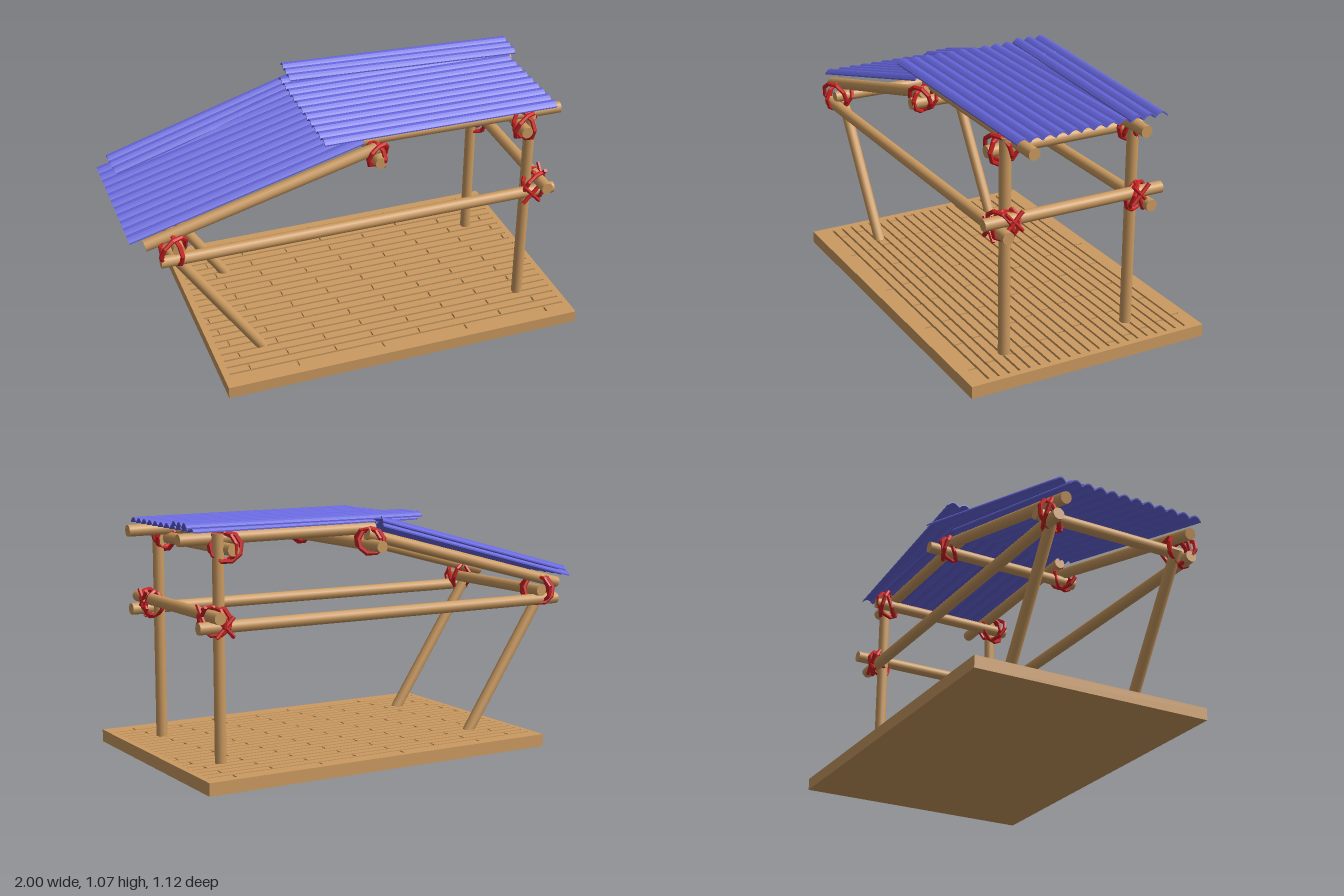
import * as THREE from 'three';

const wood = new THREE.MeshStandardMaterial({ color: 0xcb9a60 });
const blue = new THREE.MeshStandardMaterial({ color: 0x6666dd });
const red = new THREE.MeshStandardMaterial({ color: 0xcc2222, flatShading: true });
const V = (p) => new THREE.Vector3(...p);

function add(parent, name, geometry, material) {
  const mesh = new THREE.Mesh(geometry, material);
  mesh.name = name;
  parent.add(mesh);
  return mesh;
}

// Round pole between two points
function pole(parent, name, a, b, radius = 0.026) {
  const from = V(a), dir = V(b).sub(from);
  const mesh = add(parent, name, new THREE.CylinderGeometry(radius, radius, dir.length(), 14), wood);
  mesh.position.copy(from).addScaledVector(dir, 0.5);
  mesh.quaternion.setFromUnitVectors(new THREE.Vector3(0, 1, 0), dir.normalize());
}

// Corrugated sheet running from a to b, with a row of arched ribs across
function sheet(parent, name, a, b, width, ribs) {
  const per = 6, n = ribs * per, top = [], bottom = [];
  for (let i = 0; i <= n; i++) {
    const x = (i / n - 0.5) * width;
    const y = 0.018 * Math.abs(Math.sin((Math.PI * i) / per)) - 0.01;
    bottom.push(new THREE.Vector2(x, y));
    top.unshift(new THREE.Vector2(x, y + 0.006));
  }
  const dir = V(b).sub(V(a)), length = dir.length();
  dir.normalize();
  const across = new THREE.Vector3(0, 1, 0).cross(dir).normalize();
  const up = dir.clone().cross(across);
  const geometry = new THREE.ExtrudeGeometry(new THREE.Shape([...bottom, ...top]),
    { depth: length, bevelEnabled: false, steps: 1 });
  geometry.applyMatrix4(new THREE.Matrix4().makeBasis(across, up, dir).setPosition(V(a)));
  add(parent, name, geometry, blue);
}

// Rope loop: a coarse ring, turned and stretched
function loop(parent, at, radius, rotation, squash = 1) {
  const mesh = add(parent, 'ropeLoop', new THREE.TorusGeometry(radius, 0.01, 6, 9), red);
  mesh.position.set(...at);
  mesh.rotation.set(...rotation);
  mesh.scale.set(1, squash, 1);
}

// Lashing: tilted loops around both poles of a joint
function lashing(parent, name, x, y, z, r = 0.06) {
  const group = new THREE.Group();
  group.name = name;
  const s = Math.sign(z);
  loop(group, [x, y, z + s * 0.015], r, [0.35, 0.45 * s, 0.3]);
  loop(group, [x, y, z - s * 0.015], r, [-0.35, 0.5 * s, 0.8], 0.9);
  loop(group, [x, y - 0.005, z], r * 1.08, [0, Math.PI / 2 + 0.35, 0.3], 0.88);
  parent.add(group);
  return group;
}

// Short crossed ropes laid over a pole; turn 0 faces z, PI/2 faces x
function crossedRope(parent, at, turn) {
  const group = new THREE.Group();
  group.name = 'crossedRope';
  for (const tilt of [-0.75, 0.75]) {
    const rope = add(group, 'ropeStrand', new THREE.CylinderGeometry(0.009, 0.009, 0.115, 6), red);
    rope.rotation.z = tilt;
  }
  group.position.set(...at);
  group.rotation.y = turn;
  parent.add(group);
}

// Plank floor: solid slab with grooves and staggered seams cut in its top layer
function floor(parent) {
  const x0 = -0.665, x1 = 0.995, z0 = -0.56, z1 = 0.555, step = 0.0475;
  const group = new THREE.Group();
  group.name = 'floor';
  const rect = (Type, a, b, c, d) => {
    const p = new Type();
    p.moveTo(a, -d).lineTo(b, -d).lineTo(b, -c).lineTo(a, -c).closePath();
    return p;
  };
  const shape = rect(THREE.Shape, x0, x1, z0, z1);
  for (let row = 0; row < 22; row++) {
    const z = -0.484 + row * step;
    if (row < 21) shape.holes.push(rect(THREE.Path, -0.635, 0.968, z - 0.005, z + 0.005));
    const shift = (((0.32 - 0.19 * row) % 0.4) + 0.4) % 0.4;
    for (let x = -0.66 + shift; x < 0.96; x += 0.4) {
      if (x > -0.63) shape.holes.push(rect(THREE.Path, x - 0.004, x + 0.004, z - 0.041, z - 0.0065));
    }
  }
  const planks = new THREE.ExtrudeGeometry(shape, { depth: 0.012, bevelEnabled: false });
  planks.rotateX(-Math.PI / 2).translate(0, 0.043, 0);
  add(group, 'floorPlanks', planks, wood);
  const slab = add(group, 'floorSlab', new THREE.BoxGeometry(x1 - x0, 0.043, z1 - z0), wood);
  slab.position.set((x0 + x1) / 2, 0.0215, (z0 + z1) / 2);
  parent.add(group);
}

export function createModel() {
  const model = new THREE.Group();
  model.name = 'shelter';
  floor(model);

  // Side frames: front and back
  const sides = [
    { post: 0.31, strut: 0.305, rail: 0.355, railX: [-0.88, 0.925], top: 0.27, rafter: 0.315 },
    { post: -0.285, strut: -0.3, rail: -0.318, railX: [-0.915, 0.92], top: -0.245, rafter: -0.295 },
  ];
  for (const s of sides) {
    pole(model, 'post', [0.81, 0.05, s.post], [0.81, 1.01, s.post], 0.025);
    pole(model, 'slantedStrut', [-0.435, 0.045, s.strut], [-0.845, 0.665, s.strut], 0.025);
    pole(model, 'sideRail', [s.railX[0], 0.63, s.rail], [s.railX[1], 0.63, s.rail]);
    pole(model, 'topRail', [0.04, 0.995, s.top], [0.97, 0.985, s.top]);
    pole(model, 'rafter', [-0.935, 0.7, s.rafter], [0.105, 0.975, s.rafter]);

    // Rope at each joint
    const out = Math.sign(s.post);
    lashing(model, 'lowerPostLashing', 0.835, 0.655, s.rail - 0.025 * out, 0.062);
    crossedRope(model, [0.888, 0.675, s.post], Math.PI / 2);
    crossedRope(model, [0.81, 0.63, s.rail + 0.028 * out], 0);
    lashing(model, 'upperPostLashing', 0.78, 0.955, s.post, 0.064);
    lashing(model, 'ridgeLashing', 0.09, 0.945, s.rafter, 0.056);
    lashing(model, 'strutLashing', -0.82, 0.675, s.rail - 0.02 * out, 0.068);
  }

  // Cross beams
  for (const [name, x, y, z0, z1] of [
    ['lowerCrossBeam', 0.858, 0.677, -0.4, 0.435],
    ['upperCrossBeam', 0.77, 0.945, -0.35, 0.375],
    ['ridgeCrossBeam', 0.09, 0.927, -0.4, 0.375],
    ['strutCrossBeam', -0.8, 0.675, -0.36, 0.36],
  ]) pole(model, name, [x, y, z0], [x, y, z1]);

  // Roof: one wide and one narrow overlapping sheet on each half
  sheet(model, 'flatRoofSheet', [-0.145, 1.037, 0.007], [0.93, 1.027, 0.007], 0.638, 11);
  sheet(model, 'slopedRoofSheet', [-1, 0.735, 0.005], [0.03, 1.014, 0.005], 0.64, 11);
  sheet(model, 'flatOverlapSheet', [-0.11, 1.058, -0.322], [0.968, 1.048, -0.255], 0.168, 3);
  sheet(model, 'slopedOverlapSheet', [-0.943, 0.767, -0.27], [0.1, 1.046, -0.33], 0.165, 3);

  return model;
}
